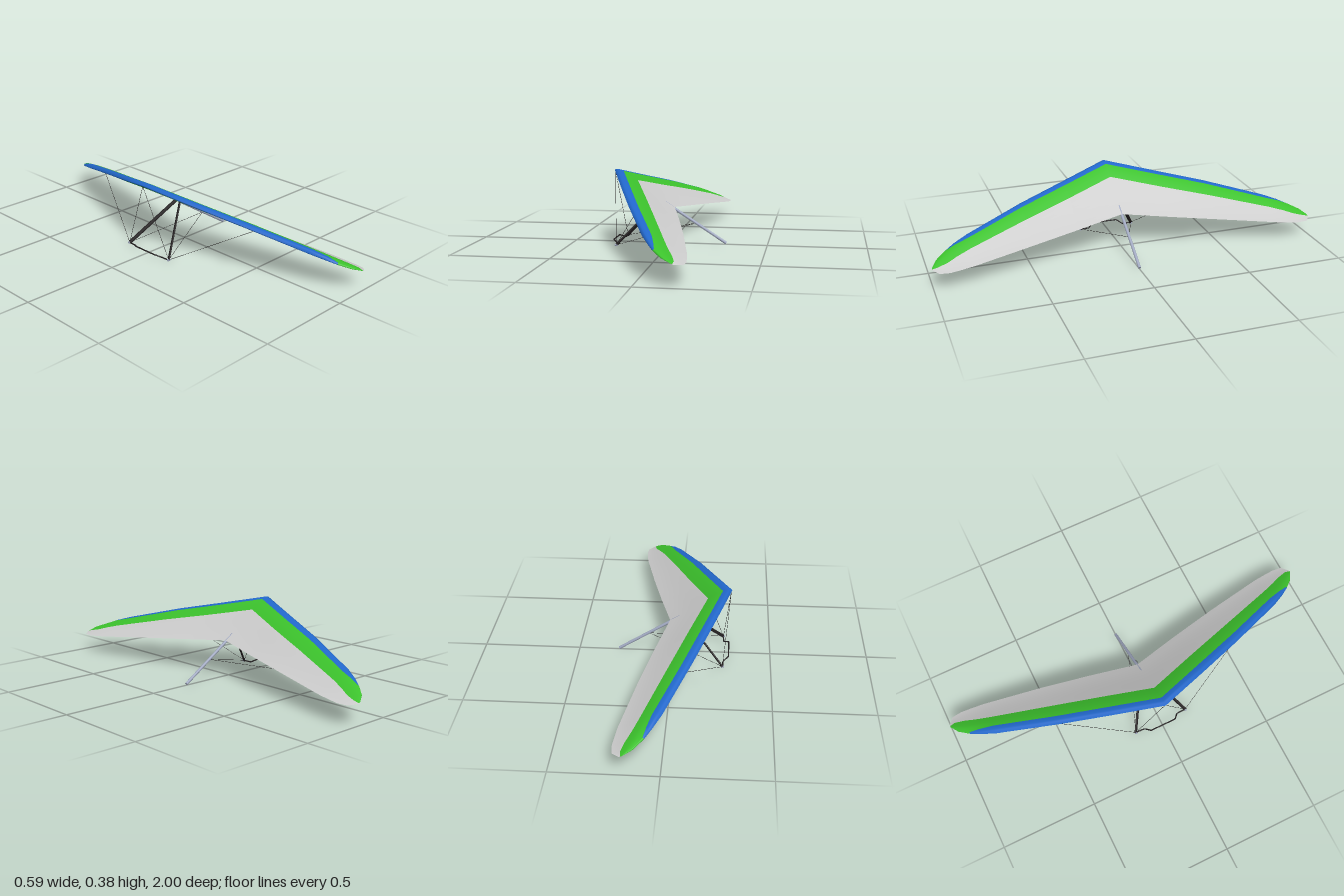
import * as THREE from 'three';

const mat = (name, color) => Object.assign(new THREE.MeshStandardMaterial({ color }), { name });

// Wing stations: z, leading edge x/y, trailing edge x/y, thickness, blue and green chord fractions
const STATIONS = [
  [0, -0.293, 0.376, 0.022, 0.188, 1, 0.12, 0.36],
  [0.25, -0.205, 0.318, 0.085, 0.163, 1, 0.135, 0.4],
  [0.5, -0.115, 0.262, 0.143, 0.138, 0.95, 0.15, 0.44],
  [0.8, 0.005, 0.184, 0.205, 0.105, 0.85, 0.19, 0.5],
  [0.87, 0.042, 0.162, 0.214, 0.098, 0.75, 0.13, 0.53],
  [0.92, 0.075, 0.142, 0.219, 0.094, 0.65, 0.03, 0.57],
  [0.97, 0.118, 0.122, 0.213, 0.094, 0.45, 0.03, 0.58],
  [0.998, 0.163, 0.106, 0.178, 0.1, 0, 0.03, 0.58],
];

// Signed chord positions: + on the upper skin, - on the lower, with one colour per strip
function chordPositions(b, g) {
  const s = [];
  const run = (from, to, n) => { for (let k = 0; k < n; k++) s.push(from + (to - from) * k / n); };
  run(1, g, 6);
  run(g, b, 4);
  run(b, 0, 4);
  run(0, -b * 0.4, 2);
  run(-b * 0.4, -g, 4);
  run(-g, -1, 5);
  s.push(-1);
  return s;
}
const stripColour = j => (j < 6 ? 2 : j < 10 ? 1 : j < 16 ? 0 : j < 20 ? 1 : 2);

function wingGeometry() {
  const rows = [...STATIONS.slice(1).reverse().map(([z, ...r]) => [-z, ...r]), ...STATIONS];
  const pos = [];
  let cols = 0;
  for (const [z, lx, ly, tx, ty, thick, b, g] of rows) {
    const dx = tx - lx, dy = ty - ly, len = Math.hypot(dx, dy);
    const s = chordPositions(b, g);
    cols = s.length;
    for (const v of s) {
      const u = Math.abs(v);
      const h = thick * (v > 0 ? 0.072 : -0.03) * Math.sqrt(u) * (1 - u) ** 2;
      pos.push(lx + dx * u - dy / len * h, ly + dy * u + dx / len * h, z);
    }
  }
  const lists = [[], [], []];
  for (let i = 0; i < rows.length - 1; i++) {
    const tip = Math.max(Math.abs(rows[i][0]), Math.abs(rows[i + 1][0])) > 0.93;
    for (let j = 0; j < cols - 1; j++) {
      let c = stripColour(j);
      if (tip && c === 0) c = 1;
      const a = i * cols + j, d = a + cols;
      lists[c].push(a, a + 1, d, a + 1, d + 1, d);
    }
  }
  const geo = new THREE.BufferGeometry();
  geo.setAttribute('position', new THREE.Float32BufferAttribute(pos, 3));
  geo.setIndex(lists.flat());
  let start = 0;
  lists.forEach((l, k) => { geo.addGroup(start, l.length, k); start += l.length; });
  geo.computeVertexNormals();
  return geo;
}

// Straight tube between two points, optionally flattened
function rod(name, a, b, r, material, sides = 12, rz = r) {
  const A = new THREE.Vector3(...a), B = new THREE.Vector3(...b);
  const dir = B.clone().sub(A);
  const mesh = new THREE.Mesh(new THREE.CylinderGeometry(1, 1, dir.length(), sides), material);
  mesh.scale.set(r, 1, rz);
  mesh.position.copy(A).add(B).multiplyScalar(0.5);
  mesh.quaternion.setFromUnitVectors(new THREE.Vector3(0, 1, 0), dir.normalize());
  mesh.name = name;
  return mesh;
}

export function createModel() {
  const group = new THREE.Group();
  group.name = 'hangGlider';
  const blue = mat('blue', 0x2268cc);
  const green = mat('green', 0x3cc22c);
  const grey = mat('lightGrey', 0xcccccc);
  const metal = mat('metal', 0xa0a8c0);
  const black = mat('black', 0x231f20);

  // Sail
  const wing = new THREE.Mesh(wingGeometry(), [blue, green, grey]);
  wing.name = 'wing';
  group.add(wing);

  // Keel tube
  group.add(rod('keel', [-0.03, 0.213, 0], [0.29, 0.007, 0], 0.0075, metal, 16));

  // Control frame uprights, corner fittings and rigging
  for (const s of [1, -1]) {
    const corner = [-0.255, 0.008, 0.145 * s];
    group.add(rod('upright', [-0.05, 0.222, 0.015 * s], corner, 0.009, black, 12, 0.005));
    group.add(rod('cornerFitting', [-0.262, 0.009, 0.145 * s], [-0.248, 0.007, 0.145 * s], 0.006, metal, 8));
    group.add(rod('noseWire', [-0.288, 0.368, 0], corner, 0.001, black, 5));
    group.add(rod('tailWire', [0.13, 0.106, 0], corner, 0.001, black, 5));
    group.add(rod('sideWire', [-0.075, 0.235, 0.54 * s], corner, 0.001, black, 5));
  }

  // Base bar, bowed forward in the middle
  const barPoints = [[-0.255, 0.007, 0.145], [-0.257, 0.007, 0.095], [-0.284, 0.022, 0.07]];
  const path = new THREE.CurvePath();
  const pts = [...barPoints, ...barPoints.slice().reverse().map(([x, y, z]) => [x, y, -z])]
    .map(p => new THREE.Vector3(...p));
  for (let i = 0; i < pts.length - 1; i++) path.add(new THREE.LineCurve3(pts[i], pts[i + 1]));
  const bar = new THREE.Mesh(new THREE.TubeGeometry(path, 60, 0.0035, 8), black);
  bar.name = 'baseBar';
  group.add(bar);

  return group;
}
